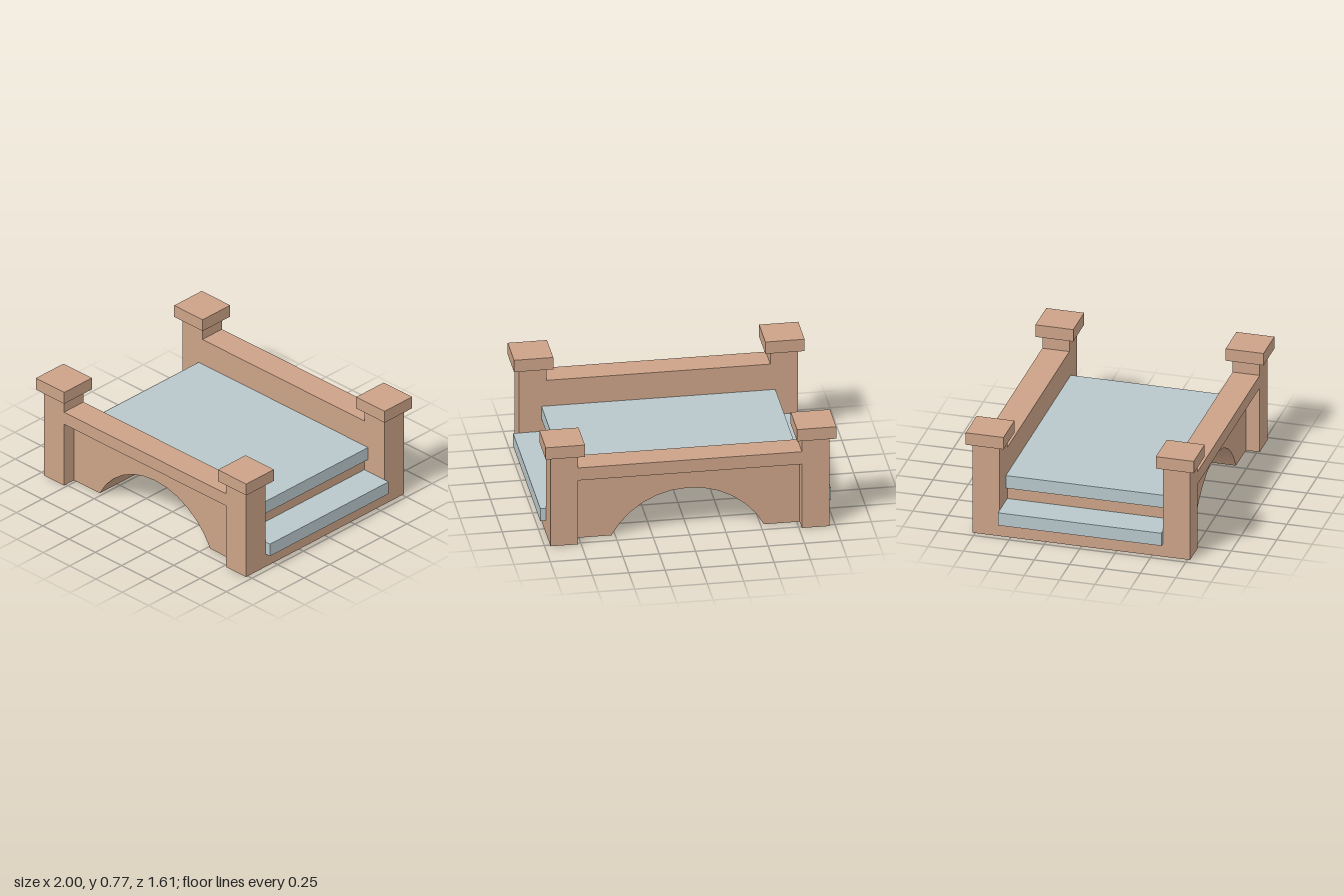
import * as THREE from 'three';
import { toCreasedNormals } from 'three/addons/utils/BufferGeometryUtils.js';

const stone = new THREE.MeshStandardMaterial({ color: 0xcba287 });
stone.name = 'warm stone';
const slab = new THREE.MeshStandardMaterial({ color: 0xb8c7ca });
slab.name = 'pale blue slab';

// Circular arch from right springing to left springing
function archPoints() {
  const r = 0.59, cy = -0.27, half = Math.asin(0.525 / r), n = 12;
  const pts = [];
  for (let i = 0; i <= n; i++) {
    const a = half - (2 * half * i) / n;
    pts.push([r * Math.sin(a), Math.max(0, cy + r * Math.cos(a))]);
  }
  return pts;
}

export function createModel() {
  const bridge = new THREE.Group();
  bridge.name = 'bridge';

  const add = (name, geometry, material) => {
    const mesh = new THREE.Mesh(geometry, material);
    mesh.name = name;
    bridge.add(mesh);
  };

  const box = (name, material, x0, x1, y0, y1, z0, z1) => {
    const g = new THREE.BoxGeometry(x1 - x0, y1 - y0, z1 - z0);
    g.translate((x0 + x1) / 2, (y0 + y1) / 2, (z0 + z1) / 2);
    add(name, g, material);
  };

  // Extrudes an x-y outline between two z positions
  const extrude = (name, material, points, z0, z1) => {
    const shape = new THREE.Shape(points.map(([x, y]) => new THREE.Vector2(x, y)));
    const g = new THREE.ExtrudeGeometry(shape, { depth: z1 - z0, bevelEnabled: false });
    g.translate(0, 0, z0);
    add(name, toCreasedNormals(g, 0.5), material);
  };

  // Completes a left-hand (+x) outline with its mirror image
  const mirrored = (half) => [...half, ...half.map(([x, y]) => [-x, y]).reverse()];

  const inner = 0.577;

  // Stepped core with the arch cut through it
  const coreOutline = mirrored([[0.96, 0], [0.96, 0.1], [0.77, 0.1], [0.77, 0.29], [0.7, 0.29], [0.7, 0.34]]);
  extrude('archedCore', stone, [...coreOutline, ...archPoints().reverse()], -inner, inner);

  // Walking deck, hollowed beneath to sit over the core
  const deckOutline = mirrored([[0.7, 0.34], [0.7, 0.29], [0.805, 0.29], [0.805, 0.385]]);
  extrude('deck', slab, deckOutline, -inner, inner);

  for (const s of [1, -1]) {
    const span = (a, b) => (s > 0 ? [a, b] : [-b, -a]);
    const side = s > 0 ? 'front' : 'back';

    // Step at each end
    box(s > 0 ? 'leftStep' : 'rightStep', slab, ...span(0.77, 1), 0.1, 0.195, -inner, inner);

    // Recessed side wall and overhanging rail
    const wallOutline = [[0.77, 0], [0.77, 0.485], [-0.77, 0.485], [-0.77, 0]];
    extrude(side + 'Wall', stone, [...wallOutline, ...archPoints().reverse()], ...span(inner, 0.67));
    box(side + 'Rail', stone, -0.77, 0.77, 0.485, 0.58, ...span(inner, 0.768));

    // Corner posts with square caps
    for (const t of [1, -1]) {
      const px = (a, b) => (t > 0 ? [a, b] : [-b, -a]);
      const corner = side + (t > 0 ? 'Left' : 'Right');
      box(corner + 'Post', stone, ...px(0.77, 0.96), 0, 0.68, ...span(inner, 0.768));
      box(corner + 'Cap', stone, ...px(0.73, 1), 0.68, 0.77, ...span(0.538, 0.806));
    }
  }
  return bridge;
}
